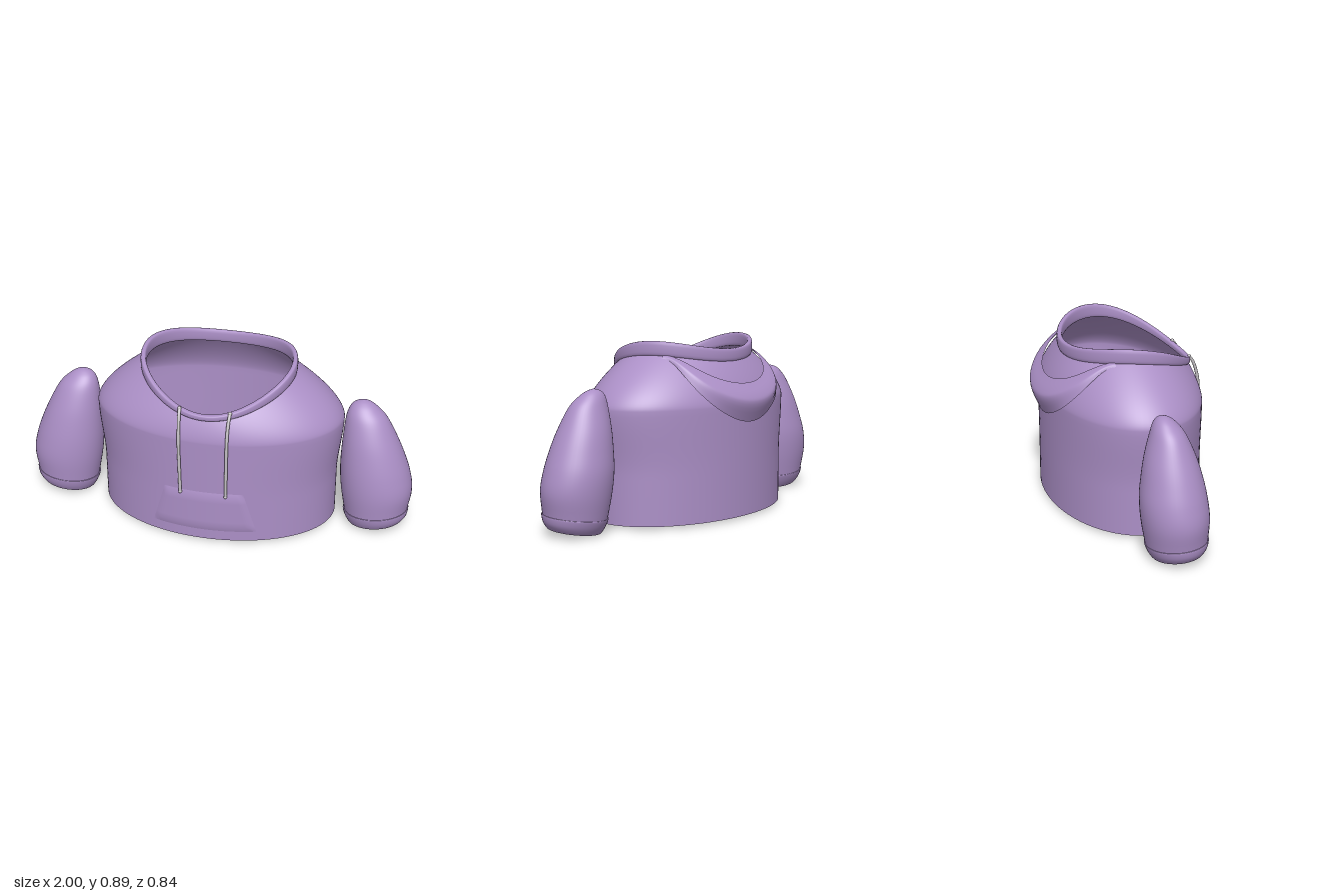
import * as THREE from 'three';

const fabric = new THREE.MeshStandardMaterial({ color: 0xab8fc6, side: THREE.DoubleSide });
fabric.name = 'lilacFabric';
const cordGrey = new THREE.MeshStandardMaterial({ color: 0xc6c2c6 });
cordGrey.name = 'greyCord';

const lerp = THREE.MathUtils.lerp;

// Grid surface from point(u, v); closed directions share their seam vertices
function surface(nu, nv, point, closeU = false, closeV = false) {
  const cols = closeU ? nu : nu + 1, rows = closeV ? nv : nv + 1;
  const pos = [], idx = [];
  for (let j = 0; j < rows; j++)
    for (let i = 0; i < cols; i++) pos.push(...point(i / nu, j / nv));
  for (let j = 0; j < nv; j++)
    for (let i = 0; i < nu; i++) {
      const i2 = (i + 1) % cols, j2 = (j + 1) % rows;
      const a = j * cols + i, b = j * cols + i2, c = j2 * cols + i2, d = j2 * cols + i;
      idx.push(a, d, b, b, d, c);
    }
  const g = new THREE.BufferGeometry();
  g.setAttribute('position', new THREE.Float32BufferAttribute(pos, 3));
  g.setIndex(idx);
  g.computeVertexNormals();
  return g;
}

function add(parent, name, geometry, material = fabric) {
  const m = new THREE.Mesh(geometry, material);
  m.name = name;
  parent.add(m);
  return m;
}

// Neck opening: an oval, low at the front and slightly pointed there
function rim(th) {
  const s = Math.sin(th), f = Math.max(0, s);
  return {
    x: 0.38 * Math.cos(th) * (1 - 0.1 * f * f),
    z: 0.05 + 0.32 * s,
    y: 0.817 - 0.0475 * s - 0.0795 * s * s,
    top: 0.878 - 0.065 * s - 0.101 * s * s,
  };
}

// Torso: oval rings up to the chest, then shoulders sloping into the neck
const CHEST = 0.57;
const halfWidth = (y) => 0.608 + 0.027 * THREE.MathUtils.smoothstep(y, 0.25, CHEST);
function torsoPoint(th, y) {
  const x = halfWidth(y) * Math.cos(th), z = 0.02 + 0.39 * Math.sin(th);
  if (y <= CHEST) return [x, y, z];
  const r = rim(th), f = Math.pow(Math.min(1, (y - CHEST) / (r.y - CHEST)), 1.5);
  return [lerp(x, r.x, f), y, lerp(z, r.z, f)];
}

function torso() {
  return surface(96, 40, (u, v) => {
    const th = u * Math.PI * 2;
    const y = v < 0.5 ? lerp(0.01, CHEST, v * 2) : lerp(CHEST, rim(th).y, v * 2 - 1);
    return torsoPoint(th, y);
  }, true);
}

// Collar: a soft band with a rounded section around the neck
function collar() {
  return surface(96, 16, (u, v) => {
    const th = u * Math.PI * 2, a = v * Math.PI * 2, r = rim(th);
    const lo = r.y - 0.008, mid = (lo + r.top) / 2, h = (r.top - lo) / 2;
    const c = Math.cos(a), s = Math.sin(a);
    const d = 0.014 * Math.sign(c) * Math.sqrt(Math.abs(c));
    const y = mid + h * Math.sign(s) * Math.pow(Math.abs(s), 0.8);
    return [r.x + d * Math.cos(th), y, r.z + d * Math.sin(th)];
  }, true, true);
}

// Hood lying folded down the back, as a crescent that tapers to the collar
function hood() {
  return surface(48, 14, (u, v) => {
    const th = lerp(-0.48, -Math.PI + 0.48, u), w = Math.sin(u * Math.PI), y0 = rim(th).y;
    const at = (drop, off) => {
      const p = torsoPoint(th, y0 - drop);
      return new THREE.Vector3(p[0] + off * Math.cos(th), p[1], p[2] + off * Math.sin(th));
    };
    const section = new THREE.CatmullRomCurve3([
      at(0.11 * w * w, 0.006 + 0.02 * w),
      at(0.165 * w * w + 0.004, 0.008 + 0.042 * w),
      at(0.195 * w * w + 0.008, 0.008 + 0.046 * w),
      at(0.285 * w * w + 0.016, 0.004 + 0.014 * w),
    ]);
    return section.getPoint(v).toArray();
  });
}

// Front pocket: a trapezoid following the chest curve, its border turned in
function pocket() {
  return surface(24, 8, (u, v) => {
    const y = lerp(0.065, 0.29, v), x = lerp(0.265, 0.2, v) * (u * 2 - 1);
    const edge = u === 0 || u === 1 || v === 0 || v === 1;
    const z = 0.02 + 0.39 * Math.sqrt(1 - (x / 0.61) ** 2);
    return [x, y, z + (edge ? 0.001 : 0.009)];
  });
}

// Oval rings: [height, inner x, outer x, back z, front z]
const sleeveRings = [
  [0.085, 0.662, 0.985, -0.1, 0.194], [0.2, 0.64, 1.0, -0.12, 0.2],
  [0.3, 0.63, 0.985, -0.125, 0.193], [0.4, 0.63, 0.95, -0.112, 0.175],
  [0.5, 0.635, 0.905, -0.092, 0.148], [0.6, 0.645, 0.85, -0.06, 0.107],
  [0.65, 0.662, 0.8, -0.04, 0.07], [0.675, 0.69, 0.762, -0.018, 0.037],
  [0.685, 0.725, 0.725, 0.01, 0.01],
];
const cuffRings = [
  [0.08, 0.68, 0.965, -0.08, 0.175], [0.024, 0.695, 0.952, -0.06, 0.165],
  [0.019, 0.687, 0.961, -0.069, 0.174], [0.05, 0.668, 0.983, -0.09, 0.19],
  [0.085, 0.656, 0.99, -0.104, 0.198], [0.088, 0.664, 0.983, -0.098, 0.192],
];
function tube(rings, side, steps) {
  const curve = (i, j) => new THREE.CatmullRomCurve3(
    rings.map((r) => new THREE.Vector3(r[0], r[i], r[j])), false, 'catmullrom');
  const xs = curve(1, 2), zs = curve(3, 4);
  return surface(48, steps, (u, v) => {
    const a = u * Math.PI * 2, c = Math.cos(a), s = Math.sin(a);
    const px = xs.getPoint(v), pz = zs.getPoint(v);
    const tilt = THREE.MathUtils.clamp((0.3 - px.x) / 0.2, 0, 1);
    const x = (px.y + px.z) / 2 + c * (px.z - px.y) / 2;
    const z = (pz.y + pz.z) / 2 + s * (pz.z - pz.y) / 2;
    return [side * x, px.x + tilt * (0.016 * c + 0.01 * s), z];
  }, true);
}

// Drawstring: over the collar, then hanging against the chest
function drawstring(side) {
  const path = new THREE.CatmullRomCurve3([
    [0.125, 0.728, 0.358], [0.123, 0.7, 0.378], [0.121, 0.65, 0.397],
    [0.12, 0.58, 0.411], [0.118, 0.45, 0.413], [0.115, 0.28, 0.412],
  ].map(([x, y, z]) => new THREE.Vector3(side * x, y, z)));
  return new THREE.TubeGeometry(path, 40, 0.008, 10);
}

export function createModel() {
  const model = new THREE.Group();
  model.name = 'hoodedSweater';
  add(model, 'torso', torso());
  add(model, 'collar', collar());
  add(model, 'foldedHood', hood());
  add(model, 'frontPocket', pocket());
  for (const [label, side] of [['left', 1], ['right', -1]]) {
    add(model, label + 'Sleeve', tube(sleeveRings, side, 40));
    add(model, label + 'Cuff', tube(cuffRings, side, 20));
    add(model, label + 'Drawstring', drawstring(side), cordGrey);
    // Rounded tips close both ends of the cord
    for (const [x, y, z] of [[0.125, 0.728, 0.358], [0.115, 0.28, 0.412]]) {
      const tip = add(model, label + 'DrawstringTip', new THREE.SphereGeometry(0.0095, 12, 8), cordGrey);
      tip.position.set(side * x, y, z);
    }
  }
  return model;
}
